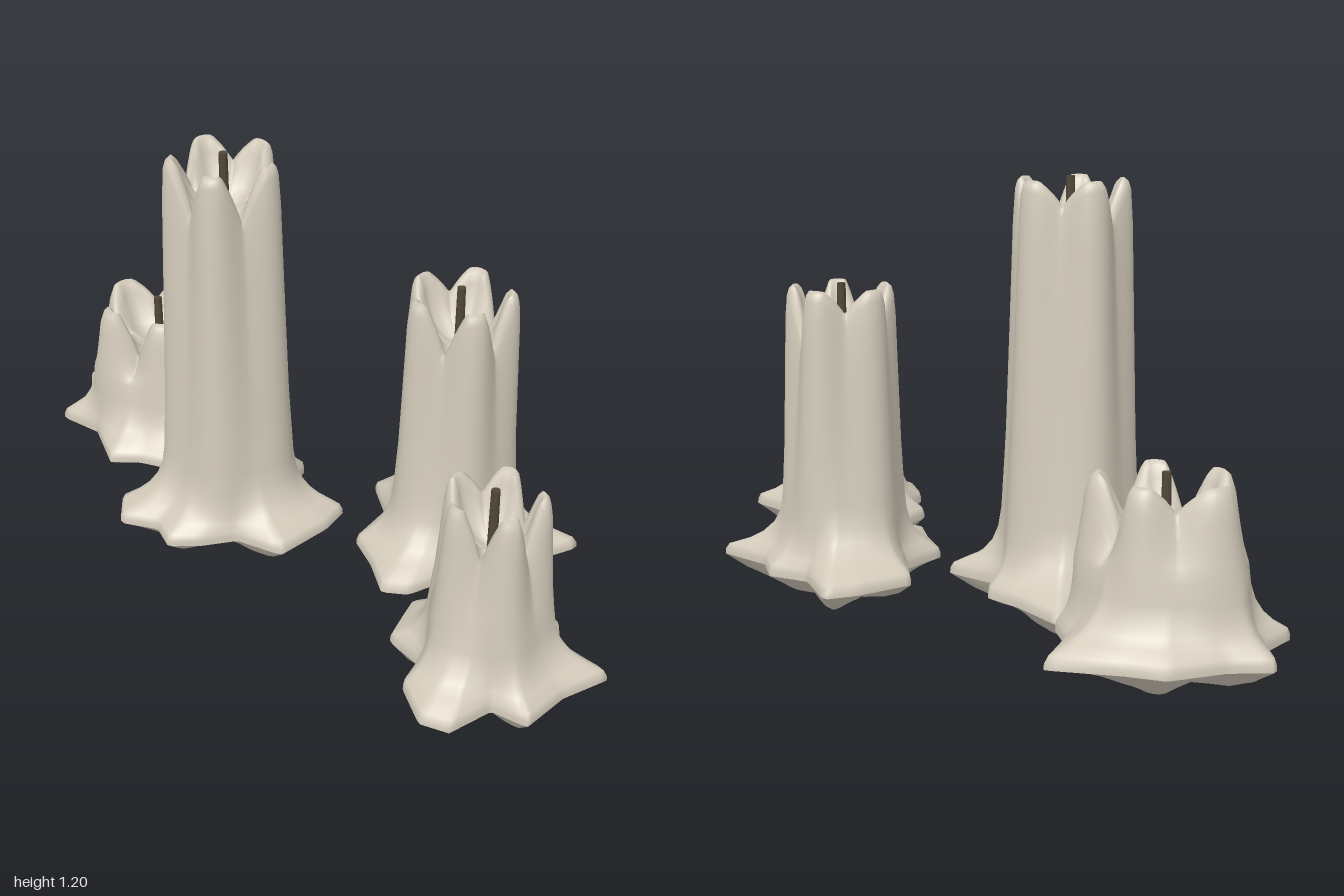
import * as THREE from 'three';

const SEG = 120;
const lerp = THREE.MathUtils.lerp;

// Each candle: centre, peak height, body radius at top and bottom (lobe crest), depth
// squash, angle of the first lobe, and the plan outline of its melted wax skirt.
const CANDLES = [
  { name: 'tallCandle', x: -0.25, z: 0.005, h: 1.195, top: 0.162, low: 0.187, squash: 1, phase: 0,
    skirt: [[0.07, -0.085], [0.065, 0.01], [0.01, 0.18], [-0.13, 0.18], [-0.21, 0.25], [-0.29, 0.295], [-0.36, 0.24],
      [-0.47, 0.265], [-0.52, 0.18], [-0.43, 0.05], [-0.485, -0.03], [-0.42, -0.1], [-0.4, -0.325], [-0.24, -0.25],
      [-0.13, -0.22], [-0.11, -0.11]] },
  { name: 'mediumCandle', x: 0.38, z: -0.14, h: 0.888, top: 0.156, low: 0.173, squash: 1, phase: -22,
    skirt: [[0.73, -0.25], [0.62, -0.1], [0.56, 0.04], [0.45, 0.09], [0.4, 0.17], [0.33, 0.195], [0.25, 0.1],
      [0.17, 0.03], [0.19, -0.12], [0.1, -0.23], [0.17, -0.38], [0.23, -0.455], [0.36, -0.35], [0.48, -0.36],
      [0.56, -0.28]] },
  { name: 'wideCandle', x: -0.67, z: -0.28, h: 0.518, top: 0.2, low: 0.228, squash: 0.84, phase: -18,
    skirt: [[-0.52, -0.62], [-0.49, -0.45], [-0.41, -0.36], [-0.44, -0.18], [-0.45, -0.04], [-0.59, -0.02],
      [-0.67, 0.02], [-0.8, -0.1], [-0.94, -0.12], [-0.92, -0.25], [-1.0, -0.36], [-0.9, -0.42], [-0.8, -0.54],
      [-0.7, -0.56]] },
  { name: 'smallCandle', x: 0.69, z: 0.325, h: 0.633, top: 0.14, low: 0.162, squash: 0.96, phase: -23,
    skirt: [[0.995, 0.24], [0.92, 0.36], [0.88, 0.5], [0.78, 0.49], [0.72, 0.61], [0.64, 0.615], [0.55, 0.52],
      [0.55, 0.42], [0.44, 0.37], [0.43, 0.22], [0.52, 0.14], [0.58, 0.055], [0.7, 0.11], [0.81, 0.11],
      [0.85, 0.2]] },
];

// Depth of the five notches around each rim
const NOTCHES = [0.125, 0.125, 0.08, 0.045, 0.125];

// Skirt radius at any angle, along straight edges between the outline points
function skirtRadius({ x, z, skirt }) {
  const pts = skirt.map(([px, pz]) => ({ x: px - x, z: pz - z, a: Math.atan2(pz - z, px - x) }))
    .sort((p, q) => p.a - q.a);
  return (angle) => {
    const a = Math.atan2(Math.sin(angle), Math.cos(angle));
    const i = Math.max(0, pts.findIndex((p) => p.a >= a));
    const p = pts[(i + pts.length - 1) % pts.length], q = pts[i];
    const dx = q.x - p.x, dz = q.z - p.z;
    return (p.x * dz - p.z * dx) / (Math.cos(a) * dz - Math.sin(a) * dx);
  };
}

// Closed loops stacked into a skin; each ring maps an angle to [radius, y]
function loft(rings) {
  const pos = [], index = [];
  rings.forEach((ring, k) => {
    for (let i = 0; i < SEG; i++) {
      const a = (i / SEG) * 2 * Math.PI;
      const [r, y] = ring(a);
      pos.push(r * Math.cos(a), y, r * Math.sin(a));
      if (k === 0) continue;
      const j = (i + 1) % SEG, lo = (k - 1) * SEG, hi = k * SEG;
      index.push(lo + i, hi + i, lo + j, lo + j, hi + i, hi + j);
    }
  });
  const geo = new THREE.BufferGeometry();
  geo.setAttribute('position', new THREE.Float32BufferAttribute(pos, 3));
  geo.setIndex(index);
  geo.computeVertexNormals();
  return geo;
}

function makeCandle(c, wax, wickMat) {
  const group = new THREE.Group();
  group.name = c.name;
  group.position.set(c.x, 0, c.z);
  const skirt = skirtRadius(c);
  const phase = THREE.MathUtils.degToRad(c.phase);

  // Five soft lobes, with V-shaped notches cut in the rim between them
  const lobe = (a) => 0.5 + 0.5 * Math.cos(5 * (a - phase));
  const rim = (a) => {
    const turn = THREE.MathUtils.euclideanModulo((a - phase) / (2 * Math.PI), 1) * 5;
    const k = Math.floor(turn);
    const fromNotch = Math.abs(turn - k - 0.5) * 2;
    return c.h - NOTCHES[k] * Math.max(0, 1 - fromNotch * 1.4) - 0.02 * (1 - fromNotch) ** 2;
  };
  const bodyR = (a, t) => lerp(c.low, c.top, t) * lerp(lerp(0.9, 0.8, t), 1, lobe(a))
    / Math.hypot(Math.cos(a), Math.sin(a) / c.squash);

  const rings = [];
  // Melted skirt with a thin lip, sweeping up into the body: [share of skirt, y]
  for (const [f, y] of [[1, 0.1], [0.995, 0.115], [0.93, 0.132], [0.6, 0.153], [0.38, 0.175], [0.2, 0.206], [0.09, 0.245], [0.03, 0.3]])
    rings.push((a) => [lerp(bodyR(a, 0), Math.max(skirt(a), bodyR(a, 0) * 1.05), f), y]);
  // Fluted body
  for (const t of [0.25, 0.5, 0.75, 0.9])
    rings.push((a) => [bodyR(a, t), lerp(0.3, rim(a) - 0.03, t)]);
  // Rounded lip: [share of radius, drop below the rim]
  for (const [f, drop] of [[0.98, 0.03], [0.94, 0.01], [0.87, 0], [0.79, 0.012], [0.73, 0.04]])
    rings.push((a) => [bodyR(a, 1) * f, rim(a) - drop]);
  // Funnel-shaped hollow down to the wick: [share of radius, height above floor]
  const floor = c.h - 0.17;
  for (const [f, lift] of [[0.55, 0.04], [0.28, 0.015], [0, 0]])
    rings.push((a) => [bodyR(a, 1) * f, floor + lift]);
  const body = new THREE.Mesh(loft(rings), wax);
  body.name = 'waxBody';
  group.add(body);

  // Underside gathered into five sharp folds
  const fold = (a) => 1 - Math.abs(Math.sin(2.5 * a));
  const under = loft([
    () => [0, 0.005],
    (a) => [skirt(a) * 0.3, 0.006 + 0.065 * fold(a)],
    (a) => [skirt(a) * 0.6, 0.022 + 0.06 * fold(a)],
    (a) => [skirt(a) * 0.82, 0.055 + 0.035 * fold(a)],
    (a) => [skirt(a), 0.1],
  ]);
  const base = new THREE.Mesh(under, wax);
  base.name = 'waxUnderside';
  group.add(base);

  // Wick
  const wick = new THREE.Mesh(new THREE.CylinderGeometry(0.012, 0.014, 0.18, 8), wickMat);
  wick.name = 'wick';
  wick.position.y = c.h + 0.006 - 0.09;
  group.add(wick);
  return group;
}

export function createModel() {
  const wax = new THREE.MeshStandardMaterial({ color: 0xd3cbbb });
  wax.name = 'ivory wax';
  const wickMat = new THREE.MeshStandardMaterial({ color: 0x51473a });
  wickMat.name = 'charred wick';
  const model = new THREE.Group();
  model.name = 'meltedCandles';
  for (const c of CANDLES) model.add(makeCandle(c, wax, wickMat));
  return model;
}
